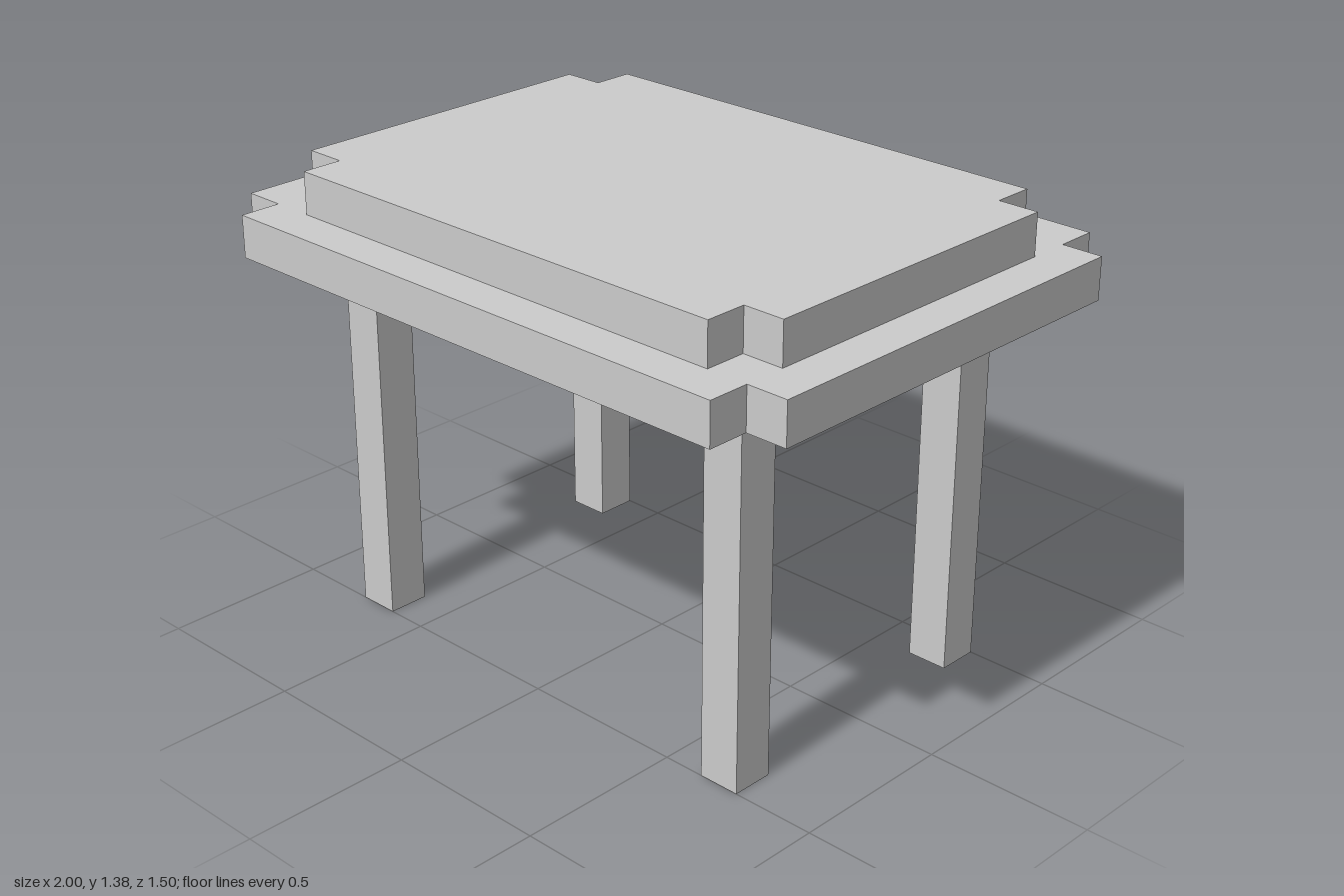
import * as THREE from 'three';

const material = new THREE.MeshStandardMaterial({ color: 0xcccccc, flatShading: true });
const NOTCH = 0.125;
const THICKNESS = 0.125;

// Rectangular slab with a square notch cut from each corner
function notchedSlab(name, halfX, halfZ, bottom) {
  const innerX = halfX - NOTCH;
  const innerZ = halfZ - NOTCH;
  const outline = new THREE.Shape([
    [halfX, -innerZ], [halfX, innerZ], [innerX, innerZ], [innerX, halfZ],
    [-innerX, halfZ], [-innerX, innerZ], [-halfX, innerZ], [-halfX, -innerZ],
    [-innerX, -innerZ], [-innerX, -halfZ], [innerX, -halfZ], [innerX, -innerZ],
  ].map(([x, z]) => new THREE.Vector2(x, z)));
  const geometry = new THREE.ExtrudeGeometry(outline, { depth: THICKNESS, bevelEnabled: false });
  geometry.rotateX(-Math.PI / 2);
  const slab = new THREE.Mesh(geometry, material);
  slab.name = name;
  slab.position.y = bottom;
  return slab;
}

export function createModel() {
  const table = new THREE.Group();
  table.name = 'table';

  // Stepped table top
  table.add(notchedSlab('lowerTop', 1, 0.75, 1.125));
  table.add(notchedSlab('upperTop', 0.875, 0.625, 1.25));

  // Four square legs
  const legGeometry = new THREE.BoxGeometry(0.125, 1.125, 0.125);
  for (const [sideX, xName] of [[1, 'Left'], [-1, 'Right']]) {
    for (const [sideZ, zName] of [[1, 'front'], [-1, 'back']]) {
      const leg = new THREE.Mesh(legGeometry, material);
      leg.name = `${zName}${xName}Leg`;
      leg.position.set(sideX * 0.6875, 0.5625, sideZ * 0.4375);
      table.add(leg);
    }
  }

  return table;
}
